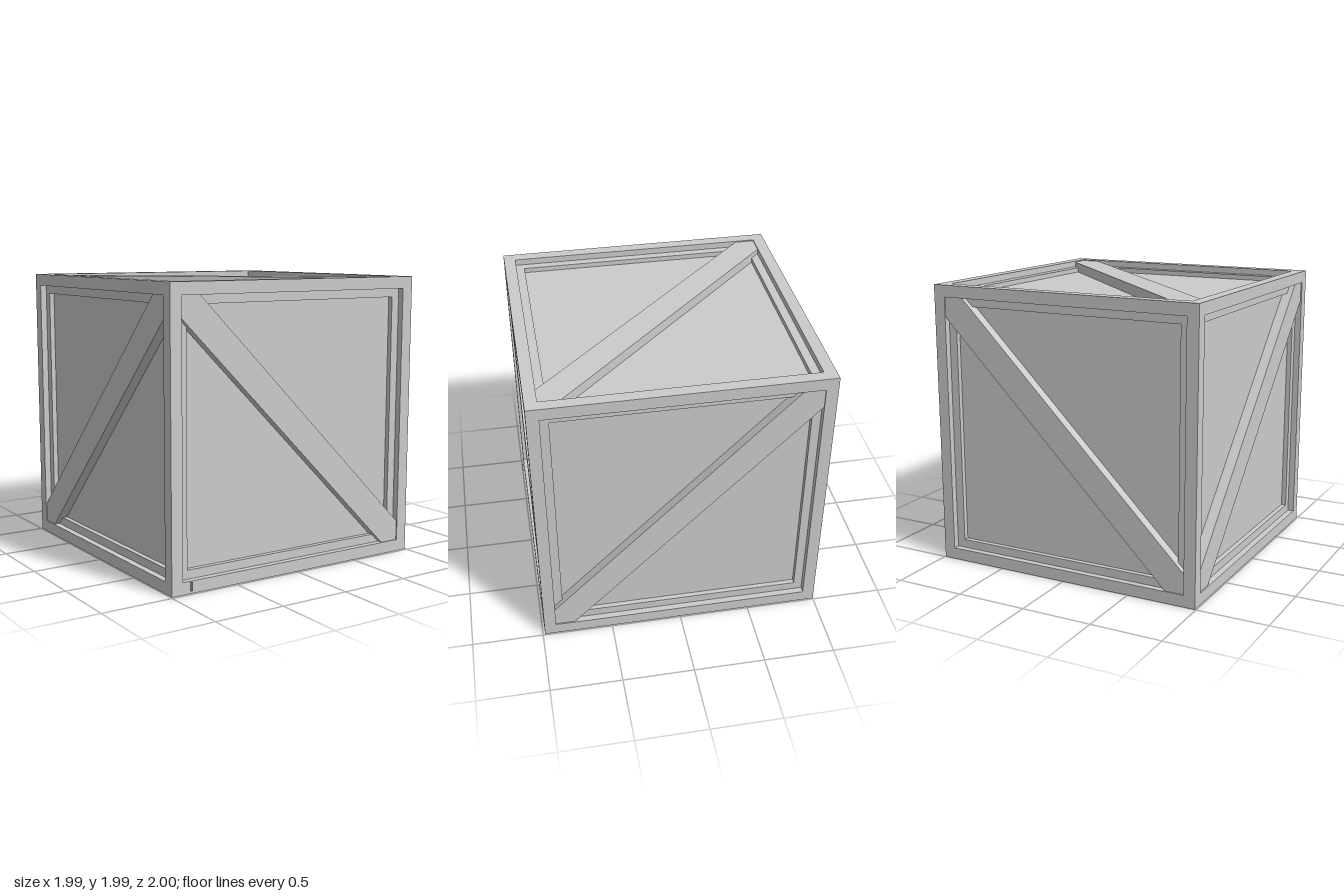
import * as THREE from 'three';

const H = 0.9925;       // half size of the crate
const BEAM = 0.083;     // width of the outer frame beams
const A = H - BEAM;     // half size of the opening in each side
const LEDGE = 0.06;     // width of the inner trim
const LEDGE_DEPTH = 0.045, PANEL_DEPTH = 0.08, BRACE_DEPTH = 0.008;
const CUT = 0.14;       // length the brace covers along each opening edge

const material = new THREE.MeshStandardMaterial({ color: 0xcccccc, flatShading: true, side: THREE.DoubleSide });

function add(parent, name, geometry, x = 0, y = 0, z = 0) {
  const mesh = new THREE.Mesh(geometry, material);
  mesh.name = name;
  mesh.position.set(x, y, z);
  parent.add(mesh);
  return mesh;
}

const polygon = (points) => new THREE.Shape(points.map(([x, y]) => new THREE.Vector2(x, y)));
const square = (r) => polygon([[-r, -r], [r, -r], [r, r], [-r, r]]);
const extrude = (shape, depth) => new THREE.ExtrudeGeometry(shape, { depth, bevelEnabled: false });

// Trim and diagonal brace of one side, facing +z; slope 1 runs from top left to bottom right
function createSide(name, slope) {
  const side = new THREE.Group();
  side.name = name;

  const ring = square(A);
  ring.holes.push(square(A - LEDGE));
  add(side, 'innerTrim', extrude(ring, PANEL_DEPTH - LEDGE_DEPTH), 0, 0, H - PANEL_DEPTH);

  const s = slope;
  const brace = polygon([
    [-A * s, A], [-A * s, A - CUT], [(A - CUT) * s, -A],
    [A * s, -A], [A * s, -A + CUT], [(-A + CUT) * s, A],
  ]);
  add(side, 'diagonalBrace', extrude(brace, PANEL_DEPTH - BRACE_DEPTH), 0, 0, H - PANEL_DEPTH);
  return side;
}

export function createModel() {
  const model = new THREE.Group();
  model.name = 'crate';
  const crate = new THREE.Group();
  crate.name = 'crateBody';
  crate.position.set(0, H, -0.0075);
  model.add(crate);

  // Recessed panels on all six sides
  const core = 2 * (H - PANEL_DEPTH);
  add(crate, 'panels', new THREE.BoxGeometry(core, core, core));

  // Outer frame: four posts and eight rails
  const c = H - BEAM / 2;
  for (const i of [-1, 1]) {
    for (const j of [-1, 1]) {
      add(crate, 'cornerPost', new THREE.BoxGeometry(BEAM, 2 * H, BEAM), i * c, 0, j * c);
      add(crate, 'rail', new THREE.BoxGeometry(2 * A, BEAM, BEAM), 0, i * c, j * c);
      add(crate, 'sideRail', new THREE.BoxGeometry(BEAM, BEAM, 2 * A), i * c, j * c, 0);
    }
  }

  // Trim and braces: name, slope, rotation about x, rotation about y
  const q = Math.PI / 2;
  for (const [name, slope, rx, ry] of [
    ['frontSide', 1, 0, 0], ['backSide', 1, 0, 2 * q],
    ['leftSide', -1, 0, q], ['rightSide', -1, 0, -q],
    ['topSide', 1, -q, 0], ['bottomSide', 1, q, 0],
  ]) {
    const side = createSide(name, slope);
    side.rotation.set(rx, ry, 0);
    crate.add(side);
  }

  // Small splinter on the lower front rail
  add(crate, 'splinter', new THREE.BoxGeometry(0.008, 0.06, 0.03), -0.85, 0.05 - H, H);
  return model;
}
